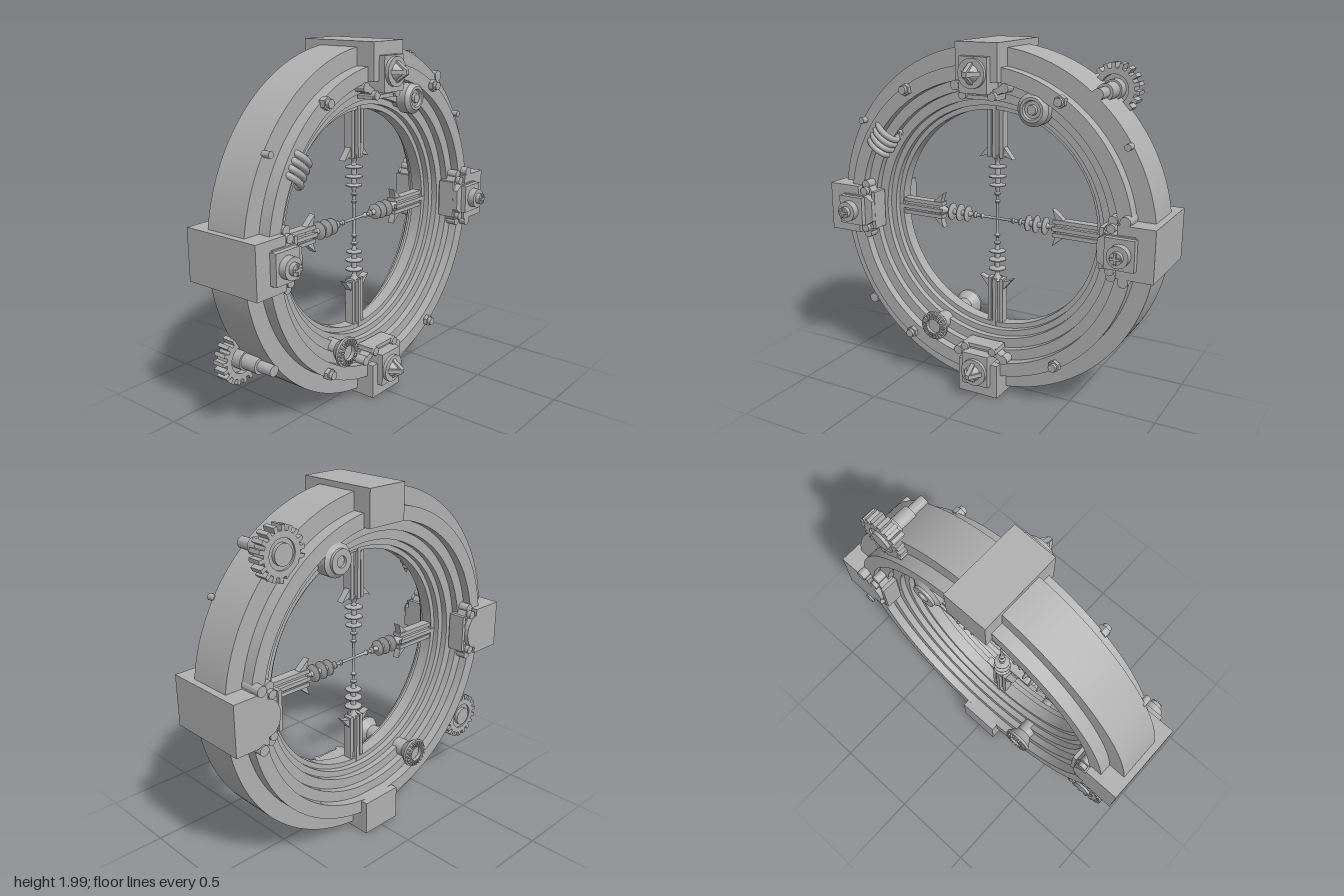
import * as THREE from 'three';
import { toCreasedNormals } from 'three/addons/utils/BufferGeometryUtils.js';

const steel = new THREE.MeshStandardMaterial({ color: 0xb0b0b0 });
steel.name = 'brushed grey';
const MID = -0.055; // middle of the ring's depth

function add(parent, name, geometry, x = 0, y = 0, z = 0) {
  const mesh = new THREE.Mesh(geometry, steel);
  mesh.name = name;
  mesh.position.set(x, y, z);
  parent.add(mesh);
  return mesh;
}

function group(parent, name) {
  const g = new THREE.Group();
  g.name = name;
  parent.add(g);
  return g;
}

// Turned solid around z; profile given as [radius, z] from back to front
function turned(profile, sides = 32) {
  const g = new THREE.LatheGeometry(profile.map(p => new THREE.Vector2(p[0], p[1])), sides);
  return toCreasedNormals(g.rotateX(Math.PI / 2), 0.5);
}

// Plain cylinder along z between two depths
function rod(r, z0, z1, sides = 20) {
  return turned([[0, z0], [r, z0], [r, z1], [0, z1]], sides);
}

function extruded(points, z0, z1) {
  const shape = new THREE.Shape(points.map(p => new THREE.Vector2(p[0], p[1])));
  return new THREE.ExtrudeGeometry(shape, { depth: z1 - z0, bevelEnabled: false }).translate(0, 0, z0);
}

function box(w, h, z0, z1) {
  return new THREE.BoxGeometry(w, h, z1 - z0).translate(0, 0, (z0 + z1) / 2);
}

// Two crossed fins tapering towards the front
function crossedFins(parent, y, r, tip, z0, z1, thick) {
  for (const turn of [0, Math.PI / 2]) {
    const fin = extruded([[-r, 0], [r, 0], [tip, z1 - z0], [-tip, z1 - z0]], -thick / 2, thick / 2);
    fin.rotateX(Math.PI / 2).rotateZ(turn);
    add(parent, 'crossFin', fin, 0, y, z0);
  }
}

// One arm of the crosshair, +y pointing outward
function makeSpoke(parent, angle) {
  const s = group(parent, 'spoke');
  s.position.z = MID;
  s.rotation.z = angle;
  add(s, 'spokeCore', new THREE.BoxGeometry(0.095, 0.27, 0.035), 0, 0.505);
  for (const x of [-0.038, 0, 0.038]) {
    add(s, 'spokeRib', new THREE.BoxGeometry(0.022, 0.29, x ? 0.055 : 0.08), x, 0.5);
  }
  // Flared barbs on both sides
  for (const turn of [0, Math.PI]) {
    const barb = extruded([[0.02, 0.43], [0.02, 0.37], [0.06, 0.365], [0.105, 0.35], [0.05, 0.415]], -0.02, 0.02);
    add(s, 'barb', barb).rotation.y = turn;
  }
  // Turned tip: thin rod, collar discs and a tapered neck
  const tip = [[0.008, 0], [0.008, 0.085]];
  for (const [y, r] of [[0.1, 0.016], [0.145, 0.02], [0.195, 0.046], [0.245, 0.05], [0.3, 0.05]]) {
    const neck = y < 0.16 ? 0.009 : 0.016;
    tip.push([neck, y - 0.011], [r, y - 0.003], [r, y + 0.003], [neck, y + 0.011]);
  }
  tip.push([0.012, 0.325], [0.018, 0.345], [0.035, 0.37], [0, 0.38]);
  const g = new THREE.LatheGeometry(tip.map(p => new THREE.Vector2(p[0], p[1])), 16);
  add(s, 'collaredTip', toCreasedNormals(g, 0.5));
}

// Small clamp at the inner edge of a block (+y is outward)
function makeClamp(parent, screwX, screwY) {
  const c = group(parent, 'clamp');
  add(c, 'clampBar', box(0.22, 0.022, 0.06, 0.16), 0, 0.71);
  add(c, 'clampBody', box(0.16, 0.08, 0.05, 0.15), 0, 0.75);
  for (const side of [-1, 1]) {
    add(c, 'clampScrew', rod(0.024, 0.06, 0.175, 12), side * screwX, screwY);
    const wing = add(c, 'clampWing', box(0.08, 0.035, 0.06, 0.15), side * 0.125, 0.755);
    wing.rotation.z = side * 0.5;
    add(c, 'wingEnd', rod(0.026, 0.06, 0.152, 12), side * 0.148, 0.765);
  }
  return c;
}

// Toothed wheel on a shaft
function makeGear(parent, x, y) {
  const g = group(parent, 'gear');
  g.position.set(x, y, 0);
  const teeth = 18, pts = [];
  for (let i = 0; i < teeth; i++) {
    for (const [t, r] of [[0, 0.11], [0.45, 0.11], [0.5, 0.138], [0.95, 0.138]]) {
      const a = (i + t) / teeth * Math.PI * 2;
      pts.push(new THREE.Vector2(Math.cos(a) * r, Math.sin(a) * r));
    }
  }
  const rim = new THREE.Shape(pts);
  rim.holes.push(new THREE.Path().absarc(0, 0, 0.078, 0, Math.PI * 2, true));
  const geometry = new THREE.ExtrudeGeometry(rim, { depth: 0.075, bevelEnabled: false, curveSegments: 24 });
  add(g, 'gearWheel', geometry, 0, 0, -0.225);
  add(g, 'gearWeb', rod(0.08, -0.215, -0.18));
  add(g, 'gearHub', rod(0.055, -0.235, -0.12));
  add(g, 'gearCollar', rod(0.045, -0.12, -0.02));
  add(g, 'gearShaft', rod(0.03, -0.03, 0.075));
}

export function createModel() {
  const model = new THREE.Group();
  model.name = 'ringFrame';
  const ring = group(model, 'ringAssembly');
  ring.position.y = 0.99;

  // Stepped main ring, the same on both faces: [radius, distance from the middle]
  const half = [[0.973, 0.125], [0.878, 0.125], [0.878, 0.195], [0.8, 0.195], [0.8, 0.145], [0.74, 0.145],
    [0.74, 0.105], [0.685, 0.105], [0.685, 0.07], [0.65, 0.07], [0.65, 0.035], [0.622, 0.035]];
  const front = half.map(([r, d]) => [r, MID + d]);
  const back = half.map(([r, d]) => [r, MID - d]).reverse();
  add(ring, 'mainRing', turned([...back, ...front, back[0]], 128));

  for (let i = 0; i < 4; i++) makeSpoke(ring, i * Math.PI / 2);

  // Top and bottom blocks with a cross-finned point
  for (const s of [1, -1]) {
    const b = group(ring, s > 0 ? 'topBlock' : 'bottomBlock');
    b.rotation.z = s > 0 ? 0 : Math.PI;
    add(b, 'block', box(0.25, 0.2, -0.29, 0.18), 0, 0.895);
    add(b, 'mountPlate', box(0.165, 0.19, 0.1, 0.215), 0, 0.83);
    add(b, 'pointBase', rod(0.078, 0.2, 0.235, 32), 0, 0.84);
    crossedFins(b, 0.84, 0.06, 0.012, 0.23, 0.3, 0.024);
    add(b, 'pointCore', turned([[0, 0.23], [0.05, 0.23], [0.01, 0.285], [0, 0.285]]), 0, 0.84);
    makeClamp(b, 0.088, 0.72);
  }

  // Side blocks with rounded inner ends and a stepped knob
  for (const s of [1, -1]) {
    const b = group(ring, s > 0 ? 'leftBlock' : 'rightBlock');
    b.rotation.z = -s * Math.PI / 2;
    const pts = [[0.14, 0.8], [0.14, 1], [-0.14, 1], [-0.14, 0.8]];
    for (let i = 0; i <= 10; i++) {
      const a = Math.PI + i * Math.PI / 10;
      pts.push([Math.cos(a) * 0.1, 0.8 + Math.sin(a) * 0.075]);
    }
    add(b, 'block', extruded(pts, -0.29, 0.1));
    add(b, 'frontBlock', box(0.28, 0.2, 0.1, 0.18), 0, 0.9);
    add(b, 'mountPlate', extruded([[-0.09, 0.75], [-0.06, 0.7], [0.06, 0.7], [0.09, 0.75], [0.09, 0.9], [-0.09, 0.9]], 0.07, 0.19));
    add(b, 'squareStep', box(0.165, 0.16, 0.18, 0.22), 0, 0.83);
    add(b, 'knob', turned([[0, 0.21], [0.058, 0.21], [0.058, 0.26], [0.033, 0.26], [0.033, 0.285], [0, 0.285]]), 0, 0.835);
    crossedFins(b, 0.835, 0.03, 0.026, 0.28, 0.295, 0.012);
    makeClamp(b, 0.112, 0.765);
    const rear = makeClamp(b, 0.112, 0.765);
    rear.rotation.y = Math.PI;
    rear.position.z = 2 * MID;
  }

  // Tie rods beside the left block
  for (const s of [1, -1]) add(ring, 'tieRod', rod(0.029, -0.3, 0.18, 12), 0.84, s * 0.157);

  makeGear(ring, 0.63, 0.757);
  makeGear(ring, -0.8, -0.595);

  // Ringed roller through the upper rim
  add(ring, 'ringedRoller', turned([
    [0, -0.265], [0.03, -0.265], [0.03, -0.28], [0.065, -0.28], [0.065, -0.265], [0.088, -0.25], [0.088, -0.18],
    [0.06, -0.16], [0.06, 0.05], [0.088, 0.07], [0.088, 0.13], [0.065, 0.15], [0.05, 0.15], [0.045, 0.135],
    [0.028, 0.135], [0.025, 0.15], [0, 0.15]]), 0.305, 0.665);

  // Fluted spool through the lower rim
  const spool = group(ring, 'flutedSpool');
  spool.position.set(-0.31, -0.65, 0);
  add(spool, 'spoolBody', turned([
    [0, -0.255], [0.045, -0.255], [0.045, -0.275], [0.073, -0.265], [0.085, -0.265], [0.085, -0.25], [0.05, -0.2],
    [0.05, 0.09], [0.085, 0.135], [0.085, 0.15], [0.073, 0.15], [0.045, 0.16], [0.045, 0.14], [0, 0.14]]));
  for (let i = 0; i < 20; i++) {
    const a = i / 20 * Math.PI * 2;
    for (const z of [-0.272, 0.157]) {
      const rib = add(spool, 'spoolFlute', new THREE.BoxGeometry(0.03, 0.009, 0.016), Math.cos(a) * 0.06, Math.sin(a) * 0.06, z);
      rib.rotation.z = a;
    }
  }

  // Coil spring lying along the rim
  const turns = 4, path = [];
  for (let i = 0; i <= turns * 12; i++) {
    const a = i / 12 * Math.PI * 2;
    path.push(new THREE.Vector3(Math.cos(a) * 0.07, (i / (turns * 12) - 0.5) * 0.15, Math.sin(a) * 0.05));
  }
  const coil = add(ring, 'coilSpring', new THREE.TubeGeometry(new THREE.CatmullRomCurve3(path), 160, 0.018, 8), -0.65, 0.43, 0.105);
  coil.rotation.z = -0.57;

  // Hex bolts on the front face and small studs on the outer step
  for (const x of [-1, 1]) {
    for (const y of [-1, 1]) {
      const bolt = group(ring, 'hexBolt');
      bolt.position.set(x * 0.465, y * 0.72, 0);
      add(bolt, 'boltHead', rod(0.034, 0.13, 0.165, 6));
      add(bolt, 'boltCap', rod(0.023, 0.165, 0.185, 12));
    }
    add(ring, 'stud', rod(0.018, 0.06, 0.11, 12), x * 0.81, 0.515);
  }
  return model;
}
